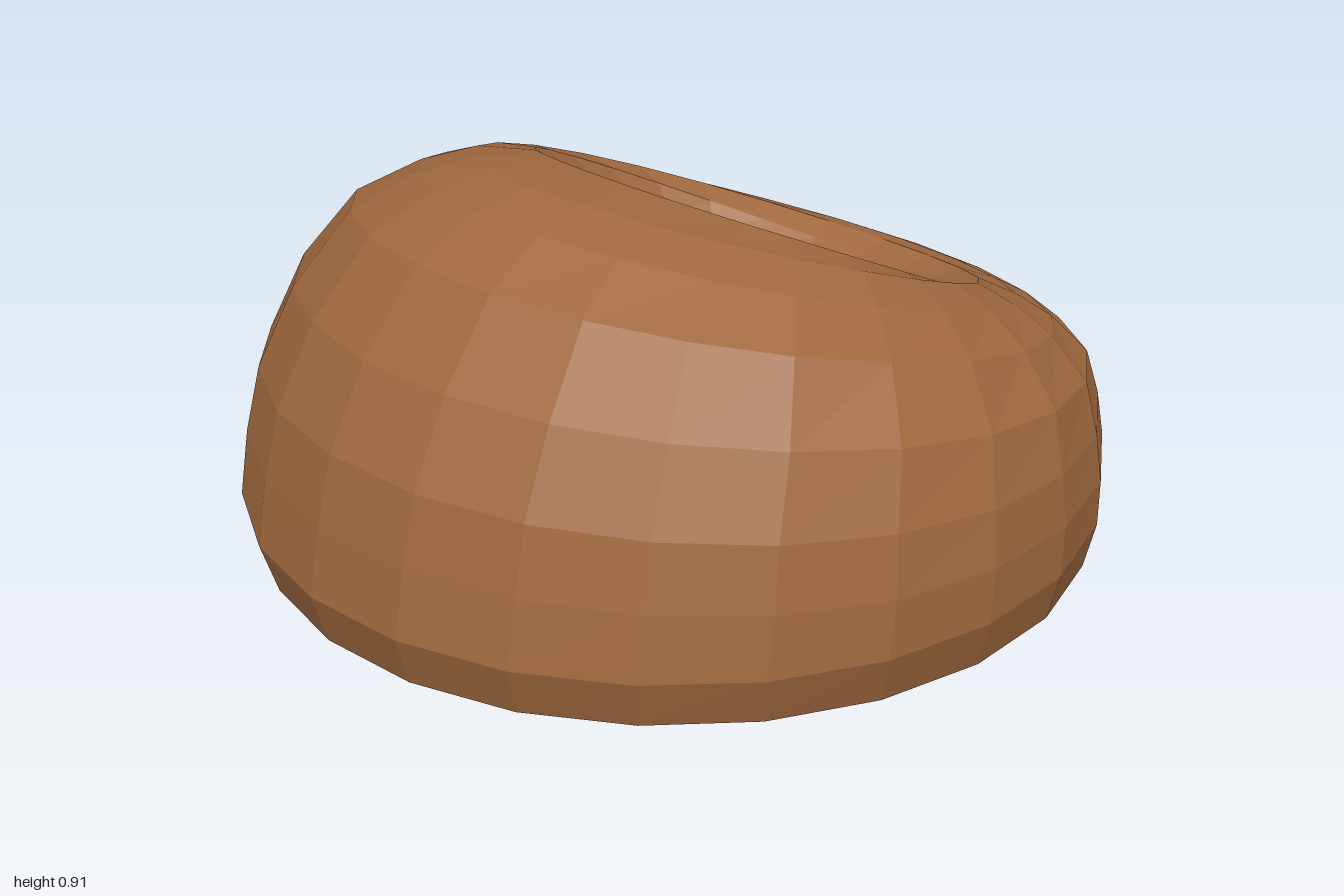
import * as THREE from 'three';

const SEGMENTS = 23;

// Tilted rings from floor to seat hollow: half width, front z, front y, back z, back y, lift of the sides
const RINGS = [
  [0.96, 0.96, 0, -0.98, 0, 0],
  [1.0, 1.0, 0.12, -0.99, 0.12, 0],
  [1.0, 0.97, 0.28, -0.985, 0.21, 0],
  [0.98, 0.93, 0.44, -0.97, 0.3, 0],
  [0.93, 0.83, 0.63, -0.95, 0.37, 0.01],
  [0.83, 0.68, 0.81, -0.87, 0.43, 0.01],
  [0.71, 0.52, 0.89, -0.81, 0.46, 0.01],
  [0.6, 0.38, 0.915, -0.74, 0.48, 0.02],
  [0.52, 0.21, 0.905, -0.67, 0.46, 0.01],
  [0.47, 0.08, 0.8, -0.61, 0.42, 0],
  [0.25, -0.07, 0.59, -0.39, 0.36, 0],
];
const SEAT_CENTRE = [0, 0.47, -0.23];

// Rings become bands of quads; each end is closed by a fan around a centre point
function beanbagGeometry() {
  const positions = [];
  const index = [];
  for (const [halfWidth, zFront, yFront, zBack, yBack, lift] of RINGS) {
    for (let i = 0; i < SEGMENTS; i++) {
      const a = Math.PI + (i / SEGMENTS) * Math.PI * 2;
      const t = (1 + Math.cos(a)) / 2;
      positions.push(
        halfWidth * Math.sin(a),
        THREE.MathUtils.lerp(yBack, yFront, t) + lift * Math.sin(a) ** 2,
        THREE.MathUtils.lerp(zBack, zFront, t)
      );
    }
  }
  const bottom = positions.length / 3;
  positions.push(0, 0, 0, ...SEAT_CENTRE);
  const last = (RINGS.length - 1) * SEGMENTS;
  for (let i = 0; i < SEGMENTS; i++) {
    const j = (i + 1) % SEGMENTS;
    for (let r = 0; r < RINGS.length - 1; r++) {
      const a = r * SEGMENTS + i;
      const b = r * SEGMENTS + j;
      index.push(a, b, b + SEGMENTS, a, b + SEGMENTS, a + SEGMENTS);
    }
    index.push(bottom, j, i);
    index.push(last + i, last + j, bottom + 1);
  }
  const geometry = new THREE.BufferGeometry();
  geometry.setAttribute('position', new THREE.Float32BufferAttribute(positions, 3));
  geometry.setIndex(index);
  const faceted = geometry.toNonIndexed();
  faceted.computeVertexNormals();
  return faceted;
}

export function createModel() {
  const leather = new THREE.MeshStandardMaterial({ color: 0xa0693f, flatShading: true });
  leather.name = 'brownLeather';

  const group = new THREE.Group();
  group.name = 'beanbagChair';
  const cushion = new THREE.Mesh(beanbagGeometry(), leather);
  cushion.name = 'cushion';
  group.add(cushion);
  return group;
}
